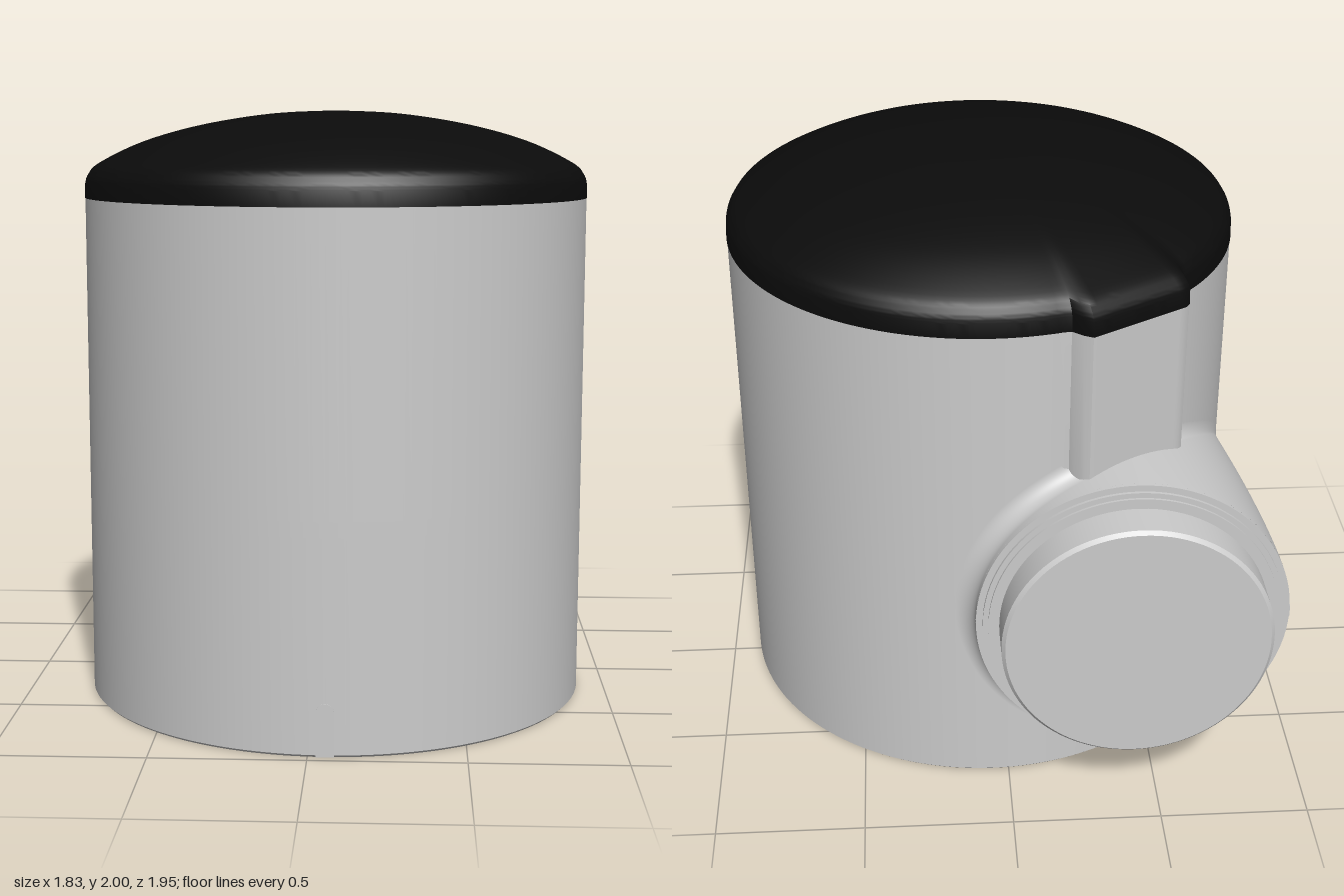
import * as THREE from 'three';
import { toCreasedNormals } from 'three/addons/utils/BufferGeometryUtils.js';
import { ParametricGeometry } from 'three/addons/geometries/ParametricGeometry.js';

const R = 0.855, CX = 0.055, CZ = 0.12;        // main cylinder
const PX = -0.4, PY = 0.705, PR = 0.515;       // side port axis and radius
const COLLAR_Z = -0.81;

const grey = new THREE.MeshStandardMaterial({ color: 0xcccccc });
const greyThin = new THREE.MeshStandardMaterial({ color: 0xcccccc, side: THREE.DoubleSide });
const black = new THREE.MeshStandardMaterial({ color: 0x0b0b0b });

const v2 = ([x, y]) => new THREE.Vector2(x, y);

// Height of the flat-faced rear channel above the cylinder, by direction
function ridge(x, z) {
  const mid = Math.atan2(-0.856, -0.517);
  const a = Math.abs(Math.atan2(z, x) - mid);
  const w = 1 - THREE.MathUtils.smoothstep(a, 0.2, 0.265);
  return w > 0 ? w * (0.9 / Math.cos(a) - R) : 0;
}

// Lathe around the main axis, pushed out along the rear channel
function ridgedLathe(points, weight) {
  const geo = new THREE.LatheGeometry(points, 240);
  const p = geo.attributes.position;
  for (let i = 0; i < p.count; i++) {
    const x = p.getX(i), y = p.getY(i), z = p.getZ(i), r = Math.hypot(x, z);
    if (r < 0.01) continue;
    const k = 1 + (ridge(x, z) * weight(r, y)) / r;
    p.setX(i, x * k);
    p.setZ(i, z * k);
  }
  return toCreasedNormals(geo, 0.6);
}

// Rear surface of the main cylinder at a given x
const bodyZ = (x) => CZ - Math.sqrt(Math.max(0, R * R - (x - CX) ** 2));

// The port housing leans inward as it runs forward
const lean = (z) => 0.117 * Math.pow(Math.max(0, (z - COLLAR_Z) / (CZ - COLLAR_Z)), 1.5);

// Housing wall: from the collar to the body, ending in a concave fillet
function housingPoint(u, v, target) {
  const a = u * Math.PI * 2, c = Math.cos(a), s = Math.sin(a);
  const x0 = PX + PR * c;
  let lo = COLLAR_Z, hi = CZ;
  for (let i = 0; i < 30; i++) {
    const m = (lo + hi) / 2;
    if (m < bodyZ(x0 + lean(m))) lo = m; else hi = m;
  }
  const slope = Math.min(1, (CZ - lo) / R);
  const f = 0.06 * slope;
  if (v <= 0.6) {
    const z = THREE.MathUtils.lerp(COLLAR_Z, lo - f, v / 0.6);
    return target.set(x0 + lean(z), PY + PR * s, z);
  }
  const t = ((1 - v) / 0.4) * Math.PI / 2;
  const out = f * (1 - Math.sin(t));
  const x = x0 + lean(lo - f * (1 - Math.cos(t))) + out * c;
  target.set(x, PY + (PR + out) * s, bodyZ(x) - f * (1 - Math.cos(t)));
}

export function createModel() {
  const group = new THREE.Group();
  const add = (name, geo, mat, x = 0, y = 0, z = 0) => {
    const mesh = new THREE.Mesh(geo, mat);
    mesh.name = name;
    mesh.position.set(x, y, z);
    group.add(mesh);
    return mesh;
  };

  // Main cylinder with the channel above the port
  const bodyProfile = [[0, 0], [R - 0.008, 0], [R, 0.008], [R, 0.7], [R, 0.75], [R, 1.71], [0, 1.71]].map(v2);
  add('body', ridgedLathe(bodyProfile, (r, y) => (y > 0.72 && r > 0.5 ? 1 : 0)), grey, CX, 0, CZ);

  // Domed cap following the same outline
  const dome = new THREE.SplineCurve([[R, 1.755], [0.845, 1.785], [0.805, 1.825], [0.655, 1.896],
    [0.455, 1.952], [0.22, 1.989], [0, 2]].map(v2)).getPoints(36);
  dome[dome.length - 1].x = 0;
  add('cap', ridgedLathe([v2([0, 1.708]), v2([R + 0.002, 1.708]), ...dome],
    (r) => Math.pow(Math.min(1, r / R), 8)), black, CX, 0, CZ);

  // Side port housing
  add('portHousing', new ParametricGeometry(housingPoint, 128, 40), greyThin);

  // Stepped collar and closed port
  const portProfile = [[0, 0], [PR, 0], [PR, 0.012], [0.493, 0.012], [0.493, 0.022], [0.475, 0.022],
    [0.475, 0.03], [0.44, 0.03], [0.44, 0.15], [0.428, 0.162], [0, 0.162]].map(v2);
  const port = add('port', toCreasedNormals(new THREE.LatheGeometry(portProfile, 96), 0.5), grey, PX, PY, COLLAR_Z);
  port.rotation.x = -Math.PI / 2;

  // Small tab on the collar's outer side
  add('collarTab', new THREE.BoxGeometry(0.012, 0.045, 0.05), grey, PX - PR + 0.003, PY, -0.79);

  // Round-topped marker at the foot of the front
  const w = 0.029;
  const marker = new THREE.Shape();
  marker.moveTo(-w, 0.002);
  marker.lineTo(w, 0.002);
  marker.lineTo(w, 0.145);
  marker.absarc(0, 0.145, w, 0, Math.PI, false);
  marker.closePath();
  add('frontMarker', new THREE.ExtrudeGeometry(marker, { depth: 0.02, bevelEnabled: false, curveSegments: 12 }),
    grey, CX, 0, CZ + R - 0.018);

  return group;
}
